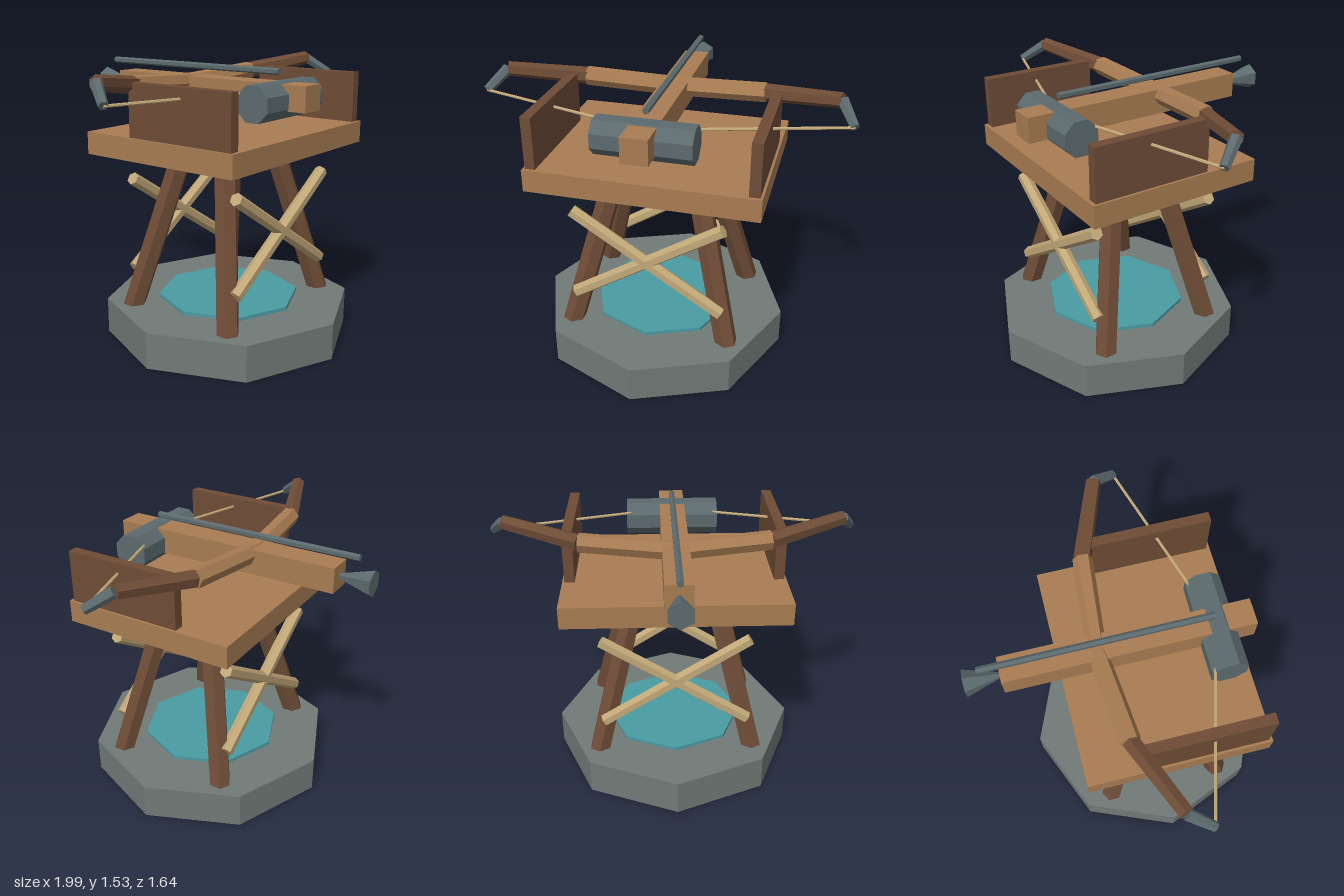
import * as THREE from 'three';

const V = (x, y, z) => new THREE.Vector3(x, y, z);
const mat = (color) => new THREE.MeshStandardMaterial({ color, flatShading: true });

export function createModel() {
  const model = new THREE.Group();
  const stone = mat(0x707a77), teal = mat(0x4a9ba3), darkWood = mat(0x6e4c36);
  const wood = mat(0xa87c52), paleWood = mat(0xc2a878), iron = mat(0x5c6a6d);
  const CZ = 0.125; // centre line of the stand

  const add = (name, geometry, material, x = 0, y = 0, z = 0) => {
    const mesh = new THREE.Mesh(geometry, material);
    mesh.name = name;
    mesh.position.set(x, y, z);
    model.add(mesh);
    return mesh;
  };
  const box = (name, m, w, h, d, x, y, z) => add(name, new THREE.BoxGeometry(w, h, d), m, x, y, z);

  // Faceted bar from a to b; spin turns its facets about its own axis
  const bar = (name, m, a, b, ra, rb = ra, sides = 6, spin = 0) => {
    const dir = b.clone().sub(a);
    const geometry = new THREE.CylinderGeometry(rb, ra, dir.length(), sides).rotateY(spin);
    const mesh = add(name, geometry, m);
    mesh.position.copy(a).add(b).multiplyScalar(0.5);
    mesh.quaternion.setFromUnitVectors(V(0, 1, 0), dir.normalize());
    return mesh;
  };

  // Octagonal plinth with inset disc
  add('base', new THREE.CylinderGeometry(0.695, 0.695, 0.2, 8), stone, 0, 0.1, CZ);
  add('baseInset', new THREE.CylinderGeometry(0.4, 0.4, 0.04, 8), teal, 0, 0.2, CZ);

  // Splayed legs, sunk into the base and deck
  for (const sx of [-1, 1]) for (const sz of [-1, 1])
    bar('leg', darkWood, V(sx * 0.444, 0.17, CZ + sz * 0.336),
      V(sx * 0.217, 1.08, CZ + sz * 0.14), 0.062);

  // Crossed braces, front and back
  for (const sz of [-1, 1]) for (const s of [-1, 1]) {
    const z = CZ + sz * 0.352;
    bar('brace', paleWood, V(-s * 0.405, 0.395, z), V(s * 0.405, 0.91, z), 0.036, 0.036, 6, Math.PI / 6);
  }

  // Deck, side walls and stock
  box('deck', wood, 1.21, 0.12, 0.958, 0, 1.123, 0.126);
  for (const s of [-1, 1]) box('sideWall', darkWood, 0.055, 0.28, 0.642, s * 0.565, 1.321, 0.265);
  box('stock', wood, 0.14, 0.135, 1.29, 0, 1.377, 0.005);

  // Winch drum across the stock
  bar('winchDrum', iron, V(-0.258, 1.358, 0.46), V(0.258, 1.358, 0.46), 0.1, 0.1, 8, Math.PI / 8);

  // Bow arms, tips and string
  for (const s of [-1, 1]) {
    const root = V(0, 1.405, -0.155), elbow = V(s * 0.5, 1.435, -0.108);
    const end = V(s * 0.9, 1.492, 0.047), nock = V(s * 0.975, 1.405, 0.168);
    bar('innerBowArm', wood, root, elbow, 0.052);
    bar('outerBowArm', darkWood, elbow, end, 0.048, 0.04);
    bar('bowTip', iron, end, nock, 0.032, 0.025);
    bar('bowString', paleWood, nock, V(0, 1.405, 0.455), 0.008);
  }

  // Bolt shaft above the stock, flared iron head at its far end
  bar('boltShaft', iron, V(0, 1.498, 0.445), V(0, 1.498, -0.74), 0.018);
  bar('flaredHead', iron, V(0, 1.38, -0.6), V(0, 1.38, -0.82), 0.002, 0.07);

  return model;
}
